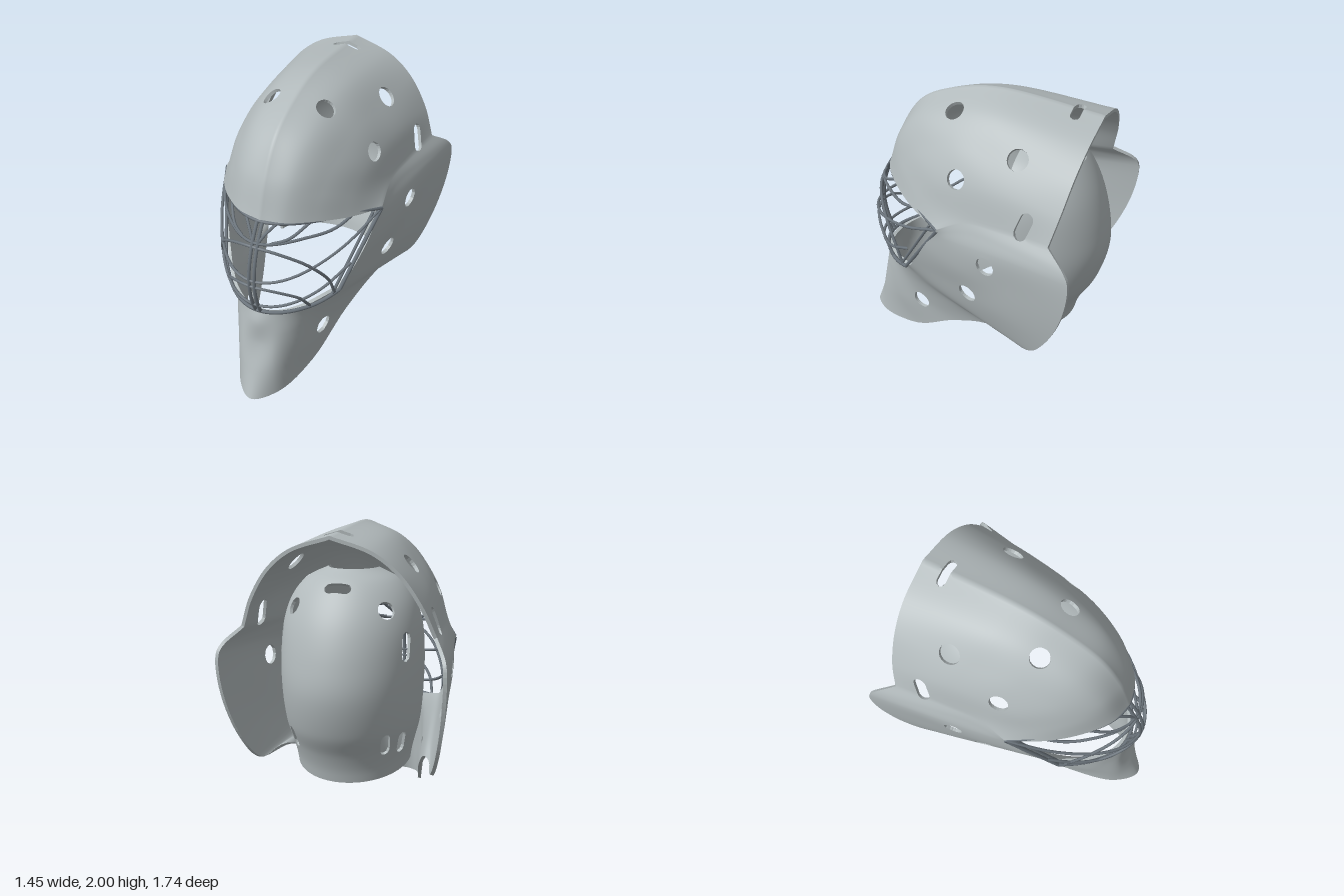
import * as THREE from 'three';
import { mergeVertices } from 'three/addons/utils/BufferGeometryUtils.js';

const V = (x, y, z) => new THREE.Vector3(x, y, z);
const curve = pts => new THREE.CatmullRomCurve3(pts.map(p => V(...p)), false, 'centripetal');
const mirror = ribs => ribs.map(r => r.map(([x, y, z]) => [-x, y, z]));

// Ribs run from the eye opening back to the outer edge
const seam = [[.565, 1.24, .08], [.548, 1.34, -.1], [.575, 1.37, -.35], [.62, 1.38, -.68]];
const domeRibs = [
  [[0, 1.35, .66], [0, 1.6, .575], [0, 1.82, .42], [0, 1.95, .15], [0, 2, -.12], [0, 1.955, -.78]],
  [[.15, 1.345, .62], [.17, 1.6, .52], [.19, 1.77, .36], [.2, 1.87, .12], [.22, 1.91, -.15], [.26, 1.87, -.77]],
  [[.3, 1.325, .5], [.31, 1.48, .43], [.33, 1.62, .3], [.355, 1.73, .05], [.385, 1.75, -.25], [.42, 1.745, -.75]],
  [[.44, 1.285, .32], [.43, 1.4, .27], [.45, 1.51, .13], [.468, 1.56, -.02], [.51, 1.58, -.35], [.545, 1.56, -.72]],
  seam,
];
const jawRibs = [
  seam,
  [[.56, 1.215, .09], [.575, 1.29, -.15], [.625, 1.3, -.42], [.7, 1.285, -.81]],
  [[.55, 1.18, .11], [.6, 1.2, -.15], [.65, 1.22, -.42], [.72, 1.22, -.845]],
  [[.52, 1.03, .2], [.585, 1, -.1], [.645, 1, -.45], [.71, .97, -.82]],
  [[.46, .85, .3], [.53, .8, -.05], [.595, .75, -.35], [.65, .66, -.7]],
  [[.41, .755, .37], [.45, .68, .15], [.51, .58, -.2], [.58, .49, -.56]],
  [[.34, .72, .47], [.37, .62, .3], [.41, .54, .05], [.47, .5, -.27]],
  [[.25, .69, .58], [.28, .55, .47], [.3, .4, .33], [.345, .32, .07]],
  [[.15, .675, .66], [.2, .5, .63], [.23, .3, .57], [.25, .09, .42]],
  [[.08, .67, .69], [.11, .5, .71], [.13, .27, .74], [.15, .03, .74]],
];
const chinRib = [[0, .67, .7], [0, .58, .73], [0, .4, .735], [0, .2, .8], [0, .01, .87]];

// Grid of points lofted across the ribs
function loft(ribs, across, along) {
  const curves = ribs.map(curve), cols = [];
  for (let j = 0; j <= along; j++) {
    const c = new THREE.CatmullRomCurve3(curves.map(k => k.getPointAt(j / along)), false, 'centripetal');
    cols.push(c.getPoints(across));
  }
  return Array.from({ length: across + 1 }, (_, i) => cols.map(c => c[i]));
}

// Move each rounded slot [from, to, radius] onto the surface, on both sides
function placeHoles(holes, grids) {
  const out = [];
  for (const [a, b, r] of holes) for (const s of [1, -1]) {
    const A = V(a[0] * s, a[1], a[2]), B = V(b[0] * s, b[1], b[2]);
    const mid = A.clone().lerp(B, .5);
    let best = null, d = Infinity;
    for (const g of grids) for (const row of g) for (const p of row)
      if (p.distanceTo(mid) < d) { d = p.distanceTo(mid); best = p; }
    const shift = best.clone().sub(mid);
    if (a[0] === 0) shift.x = 0;
    out.push({ line: new THREE.Line3(A.add(shift), B.add(shift)), r });
  }
  return out;
}

// Thick shell from grids, with holes cut through and a rim along every edge
function shell(grids, holeList, thick) {
  const holes = placeHoles(holeList, grids), tmp = V(0, 0, 0), raw = [];
  const field = p => {
    let f = 1;
    for (const h of holes) f = Math.min(f, h.line.closestPointToPoint(p, true, tmp).distanceTo(p) - h.r);
    return f;
  };
  const cut = tri => {
    const f = tri.map(field), poly = [];
    tri.forEach((p, i) => {
      const k = (i + 1) % 3, inside = f[i] > 0;
      if (inside) poly.push(p);
      if (inside !== (f[k] > 0)) {
        const [m, n, fm, fn] = inside ? [p, tri[k], f[i], f[k]] : [tri[k], p, f[k], f[i]];
        poly.push(m.clone().lerp(n, fm / (fm - fn)));
      }
    });
    for (let i = 1; i + 1 < poly.length; i++)
      for (const p of [poly[0], poly[i], poly[i + 1]]) raw.push(p.x, p.y, p.z);
  };
  for (const g of grids)
    for (let i = 0; i + 1 < g.length; i++) for (let j = 0; j + 1 < g[0].length; j++) {
      const [a, b, c, d] = [g[i][j], g[i + 1][j], g[i + 1][j + 1], g[i][j + 1]];
      cut([a, b, c]); cut([a, c, d]);
    }
  let geo = new THREE.BufferGeometry();
  geo.setAttribute('position', new THREE.Float32BufferAttribute(raw, 3));
  geo = mergeVertices(geo, 1e-4);
  geo.computeVertexNormals();
  const P = geo.attributes.position, N = geo.attributes.normal, idx = geo.index.array;
  const out = [], nor = [], edges = new Map();
  const outer = i => V(0, 0, 0).fromBufferAttribute(P, i);
  const normal = i => V(0, 0, 0).fromBufferAttribute(N, i);
  const inner = i => outer(i).addScaledVector(normal(i), -thick);
  const put = (p, n) => { out.push(p.x, p.y, p.z); nor.push(n.x, n.y, n.z); };
  for (let t = 0; t < idx.length; t += 3) {
    const [a, b, c] = [idx[t], idx[t + 1], idx[t + 2]];
    if (a === b || b === c || a === c) continue;
    for (const i of [a, b, c]) put(outer(i), normal(i));
    for (const i of [a, c, b]) put(inner(i), normal(i).negate());
    for (const [m, n] of [[a, b], [b, c], [c, a]])
      if (!edges.delete(n + '_' + m)) edges.set(m + '_' + n, [m, n]);
  }
  for (const [a, b] of edges.values()) {
    const A = outer(a), B = outer(b), a2 = inner(a), b2 = inner(b);
    const n = A.clone().sub(B).cross(a2.clone().sub(B)).normalize();
    for (const p of [B, A, a2, B, a2, b2]) put(p, n);
  }
  const res = new THREE.BufferGeometry();
  res.setAttribute('position', new THREE.Float32BufferAttribute(out, 3));
  res.setAttribute('normal', new THREE.Float32BufferAttribute(nor, 3));
  return res;
}

// Cup-shaped plate behind the head: rows of [height, rear z, half width]
function backPlateGrid() {
  const rows = curve([[.42, -.67, .37], [.5, -.69, .38], [.6, -.73, .4], [.75, -.81, .43], [1, -.87, .45],
    [1.2, -.85, .455], [1.4, -.79, .44], [1.55, -.71, .39], [1.66, -.62, .3], [1.73, -.5, .16]]);
  const grid = [];
  for (let i = 0; i <= 64; i++) {
    const a = (i / 32 - 1) * 1.6, row = [];
    for (let j = 64; j >= 0; j--) {
      const r = rows.getPointAt(j / 64), front = -.33;
      const lift = .09 * (1 - Math.cos(a)) * Math.max(0, 1 - (r.x - .42) / .5);
      row.push(V(r.z * Math.sin(a), r.x + lift, front + (r.y - front) * Math.cos(a)));
    }
    grid.push(row);
  }
  return grid;
}

export function createModel() {
  const group = new THREE.Group();
  const shellMat = new THREE.MeshStandardMaterial({ color: 0xb2babc });
  shellMat.name = 'shellGrey';
  const cageMat = new THREE.MeshStandardMaterial({ color: 0x6e777f });
  cageMat.name = 'cageSteel';
  const add = (name, geo, mat, parent = group) => {
    const m = new THREE.Mesh(geo, mat);
    m.name = name;
    parent.add(m);
  };

  // Mask shell with vent holes and strap slots
  const round = (x, y, z, r = .064) => [[x, y, z], [x, y + .002, z], r];
  const grids = [
    loft(domeRibs, 48, 64),
    loft(mirror(domeRibs).reverse(), 48, 64),
    loft([...jawRibs, chinRib, ...mirror(jawRibs).reverse()], 120, 64),
  ];
  add('maskShell', shell(grids, [
    round(.17, 1.84, .11), round(.39, 1.78, -.38, .068), round(.46, 1.58, -.02, .062),
    round(.62, 1.1, -.29), round(.55, .8, -.13, .066), round(.295, .38, .34, .066),
    [[.575, 1.4, -.5], [.565, 1.5, -.53], .043],
    [[0, 1.97, -.62], [.068, 1.955, -.62], .03],
  ], .022), shellMat);

  // Rear head plate
  add('backPlate', shell([backPlateGrid()], [
    [[0, 1.64, -.64], [.05, 1.635, -.64], .035], round(.33, 1.53, -.65, .055),
    [[.41, 1.24, -.56], [.41, 1.35, -.54], .035],
    [[.28, .64, -.62], [.29, .72, -.65], .033], [[.36, .64, -.52], [.37, .72, -.54], .033],
  ], .02), shellMat);

  // Wire cage: bars drawn in the front plane and wrapped over the bulge
  const cage = new THREE.Group();
  cage.name = 'cage';
  group.add(cage);
  const bulge = (x, y) => .785 - .9 * (y - .95) ** 2 - 2.05 * x * x;
  const bar = (name, pts, r = .01) => {
    const flat = curve(pts.map(([x, y]) => [x, y, 0])).getPoints(28);
    const path = new THREE.CatmullRomCurve3(flat.map(p => V(p.x, p.y, bulge(p.x, p.y))));
    add(name, new THREE.TubeGeometry(path, 40, r, 6), cageMat, cage);
  };
  const straight = (name, a, b, r) => {
    const path = new THREE.LineCurve3(V(...a, bulge(...a)), V(...b, bulge(...b)));
    add(name, new THREE.TubeGeometry(path, 1, r, 6), cageMat, cage);
  };
  const arch = half => [...half.map(([x, y]) => [-x, y]), ...[...half].reverse().filter(p => p[0] > 0)];
  bar('topFrame', arch([[.56, 1.235], [.45, 1.29], [.25, 1.325], [0, 1.335]]), .013);
  bar('bottomFrame', arch([[.42, .75], [.33, .7], [.2, .68], [0, .675]]), .013);
  bar('browBar', arch([[.46, 1.29], [.39, 1.24], [.25, 1.235], [0, 1.215]]));
  bar('saggingBar', arch([[.555, 1.23], [.44, 1.1], [.25, 1], [0, .965]]));
  bar('largeArch', arch([[.4, .75], [.38, .9], [.28, 1.07], [.14, 1.165], [0, 1.19]]));
  bar('smallArch', arch([[.29, .7], [.25, .81], [.14, .895], [0, .92]]));
  bar('lowBar', arch([[.47, .95], [.35, .83], [.2, .765], [0, .745]]));
  for (const s of [1, -1]) {
    straight('sideFrame', [.56 * s, 1.235], [.42 * s, .75], .013);
    straight('innerSideBar', [.53 * s, 1.24], [.39 * s, .74], .01);
    bar('centreBar', [[.018 * s, 1.335], [.018 * s, 1], [.018 * s, .675]], .012);
    bar('browStrut', [[.27 * s, 1.32], [.19 * s, 1.25], [.1 * s, 1.225]]);
    bar('centreStrut', [[.1 * s, 1.33], [.05 * s, 1.27], [.02 * s, 1.22]]);
  }
  return group;
}
